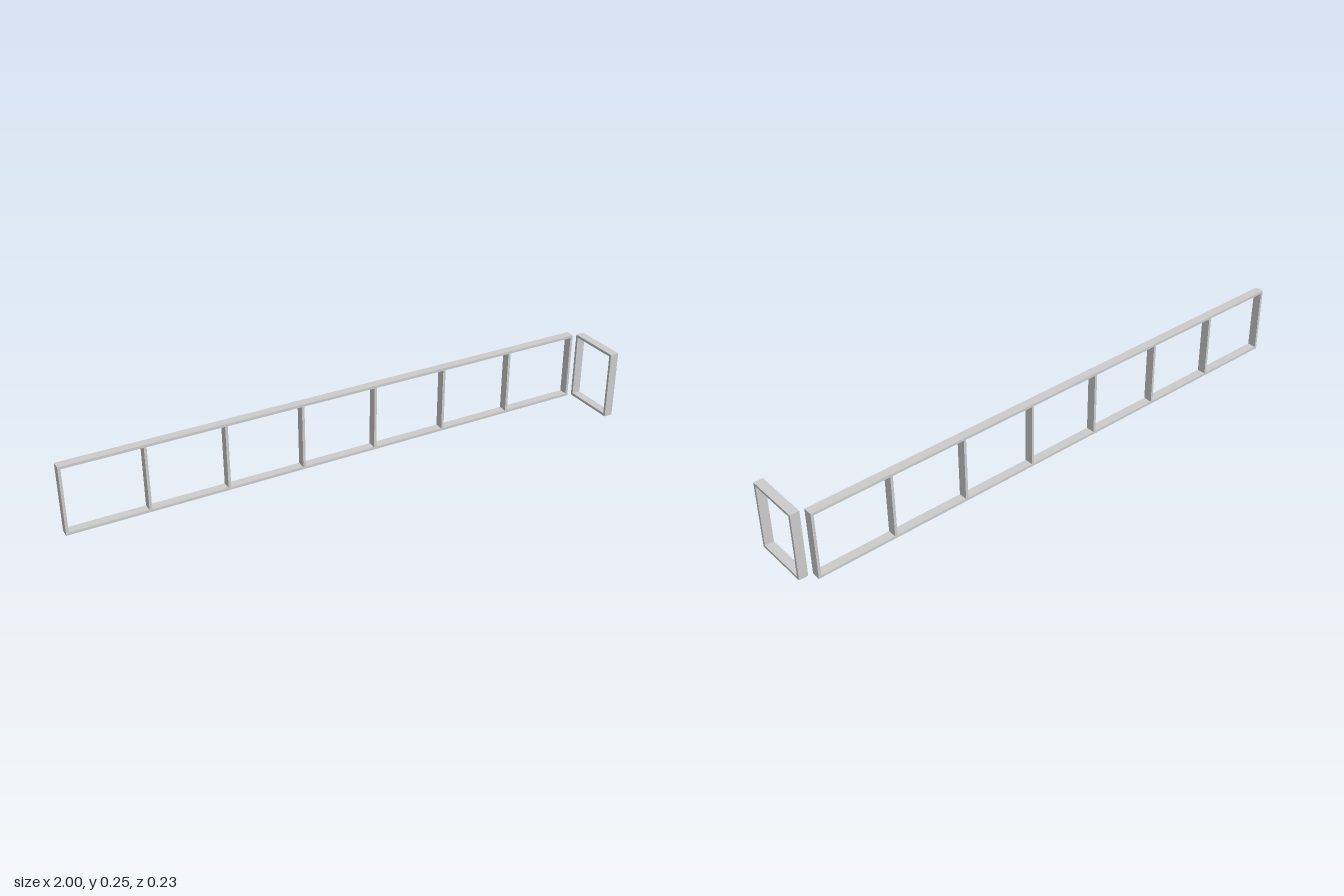
import * as THREE from 'three';

const HEIGHT = 0.249, DEPTH = 0.032, BAR = 0.0095;

// Flat ladder-like frame: a rectangle split by openings into equal bays
function frame(name, length, bays) {
  const shape = new THREE.Shape();
  shape.moveTo(0, 0).lineTo(length, 0).lineTo(length, HEIGHT).lineTo(0, HEIGHT).closePath();
  const pitch = (length - BAR) / bays;
  for (let i = 0; i < bays; i++) {
    const x0 = i * pitch + BAR, x1 = (i + 1) * pitch;
    const hole = new THREE.Path();
    hole.moveTo(x0, BAR).lineTo(x0, HEIGHT - BAR).lineTo(x1, HEIGHT - BAR).lineTo(x1, BAR).closePath();
    shape.holes.push(hole);
  }
  const geometry = new THREE.ExtrudeGeometry(shape, { depth: DEPTH, bevelEnabled: false });
  const mesh = new THREE.Mesh(geometry, new THREE.MeshStandardMaterial({ color: 0xcccccc }));
  mesh.name = name;
  return mesh;
}

export function createModel() {
  const model = new THREE.Group();
  model.name = 'wallFraming';

  // Long back frame with seven bays
  const longFrame = frame('longFrame', 1.952, 7);
  longFrame.position.set(-1, 0, -0.117);
  model.add(longFrame);

  // Short return frame, turned to run front to back
  const endFrame = frame('endFrame', 0.201, 1);
  endFrame.rotation.y = Math.PI / 2;
  endFrame.position.set(1 - DEPTH, 0, 0.117);
  model.add(endFrame);

  return model;
}
